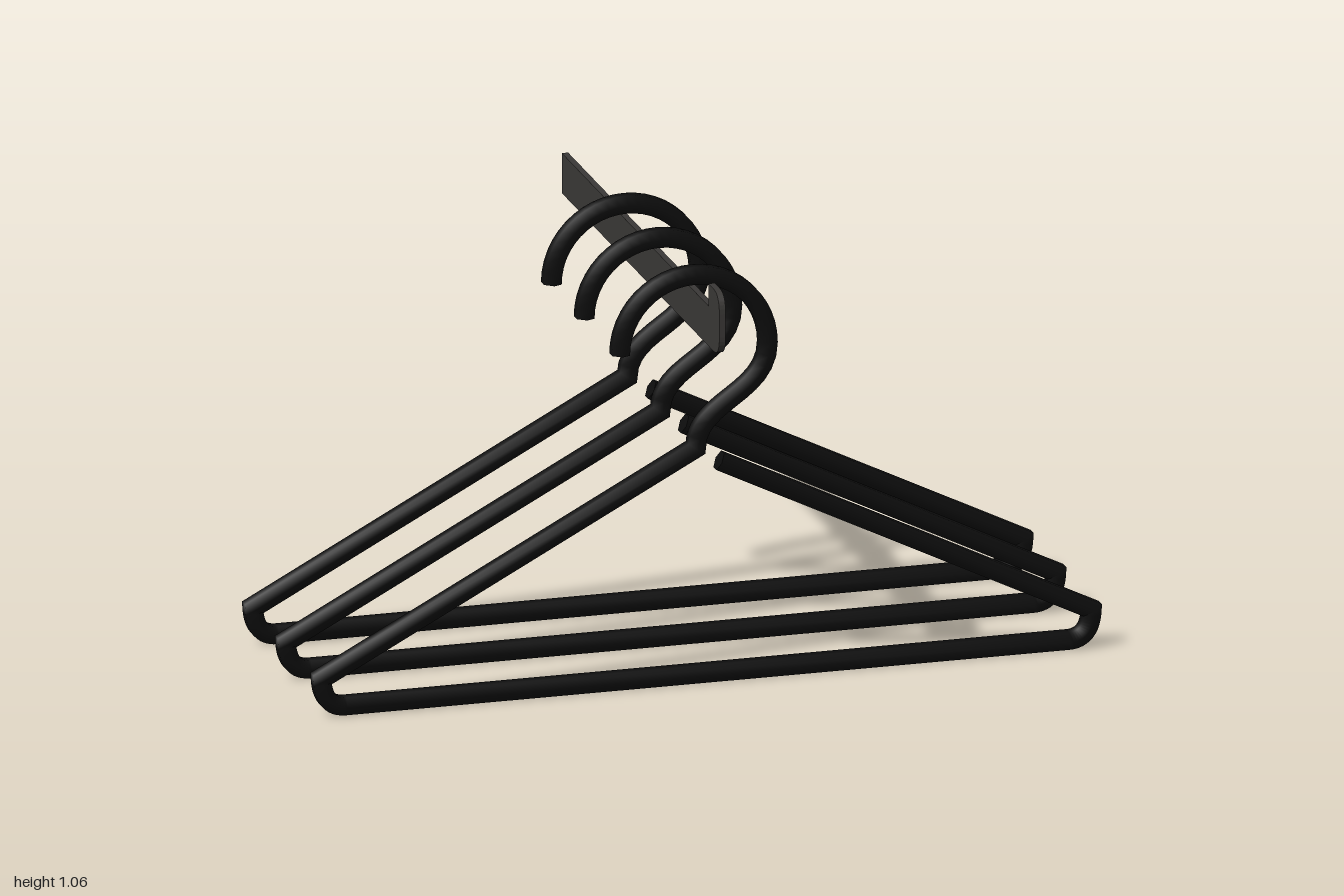
import * as THREE from 'three';

const wireMaterial = new THREE.MeshStandardMaterial({ color: 0x0d0d0d, side: THREE.DoubleSide });
const railMaterial = new THREE.MeshStandardMaterial({ color: 0x3a3836 });

// Sweeps a hexagonal wire along a flat path, mitring every corner
function sweepWire(points, radius, sides = 6) {
  const positions = [];
  const index = [];
  const last = points.length - 1;
  const direction = (i) => points[i + 1].clone().sub(points[i]).normalize();
  points.forEach((p, i) => {
    const before = direction(Math.max(i - 1, 0));
    const after = direction(Math.min(i, last - 1));
    const tangent = before.clone().add(after).normalize();
    const stretch = 1 / tangent.dot(after);
    for (let k = 0; k < sides; k++) {
      const a = (k / sides) * Math.PI * 2;
      const n = Math.sin(a) * radius * stretch;
      positions.push(p.x - tangent.y * n, p.y + tangent.x * n, Math.cos(a) * radius);
    }
  });
  for (let i = 0; i < last; i++) {
    for (let k = 0; k < sides; k++) {
      const a = i * sides + k;
      const b = i * sides + ((k + 1) % sides);
      index.push(a, a + sides, b, b, a + sides, b + sides);
    }
  }
  // Flat ends with their own vertices, so the cut edges stay sharp
  for (const ring of [0, last]) {
    const start = positions.length / 3;
    const from = ring * sides * 3;
    positions.push(...positions.slice(from, from + sides * 3));
    for (let k = 1; k < sides - 1; k++) {
      if (ring === 0) index.push(start, start + k, start + k + 1);
      else index.push(start, start + k + 1, start + k);
    }
  }
  // Make the winding face outwards
  for (let i = 0; i < index.length; i += 3) {
    [index[i + 1], index[i + 2]] = [index[i + 2], index[i + 1]];
  }
  const geometry = new THREE.BufferGeometry();
  geometry.setAttribute('position', new THREE.Float32BufferAttribute(positions, 3));
  geometry.setIndex(index);
  if (signedVolume(geometry) < 0) geometry.setIndex(index.reverse());
  geometry.computeVertexNormals();
  return geometry;
}

function signedVolume(geometry) {
  const position = geometry.attributes.position;
  const index = geometry.index.array;
  const [a, b, c] = [0, 1, 2].map(() => new THREE.Vector3());
  let volume = 0;
  for (let i = 0; i < index.length; i += 3) {
    [a, b, c].forEach((v, j) => v.fromBufferAttribute(position, index[i + j]));
    volume += a.dot(b.cross(c));
  }
  return volume;
}

// One bent wire: hook, neck, right arm, bottom bar, left arm with a loose end
function hangerGeometry() {
  const path = new THREE.Path();
  path.moveTo(-0.219, 0.855);
  path.absarc(-0.032, 0.855, 0.187, Math.PI, 0, true);
  path.bezierCurveTo(0.155, 0.72, -0.027, 0.72, -0.027, 0.6);
  path.lineTo(-0.975, 0.097);
  path.quadraticCurveTo(-0.972, 0.024, -0.915, 0.024);
  path.lineTo(0.915, 0.024);
  path.quadraticCurveTo(0.972, 0.024, 0.975, 0.097);
  path.lineTo(0.032, 0.562);
  const points = path.getPoints(12).filter((p, i, all) => i === 0 || p.distanceTo(all[i - 1]) > 1e-4);
  return sweepWire(points, 0.026);
}

// Thin flat rail with an upturned, rounded front tip; drawn in z and y
function railGeometry() {
  const shape = new THREE.Shape();
  shape.moveTo(-0.677, 0.905);
  shape.lineTo(0.627, 0.905);
  shape.quadraticCurveTo(0.677, 0.905, 0.677, 0.955);
  shape.lineTo(0.677, 1.014);
  shape.quadraticCurveTo(0.677, 1.064, 0.627, 1.064);
  shape.lineTo(0.583, 1.064);
  shape.lineTo(0.583, 1.007);
  shape.lineTo(-0.677, 1.007);
  shape.closePath();
  const depth = 0.016;
  const geometry = new THREE.ExtrudeGeometry(shape, { depth, bevelEnabled: false, curveSegments: 8 });
  geometry.translate(0, 0, -depth / 2);
  geometry.rotateY(-Math.PI / 2);
  return geometry;
}

export function createModel() {
  const group = new THREE.Group();
  group.name = 'hangersOnRail';

  const rail = new THREE.Mesh(railGeometry(), railMaterial);
  rail.name = 'rail';
  rail.position.x = -0.029;
  group.add(rail);

  const wire = hangerGeometry();
  [0.438, 0.133, -0.149].forEach((z, i) => {
    const hanger = new THREE.Mesh(wire, wireMaterial);
    hanger.name = `hanger${i + 1}`;
    hanger.position.z = z;
    group.add(hanger);
  });
  return group;
}
